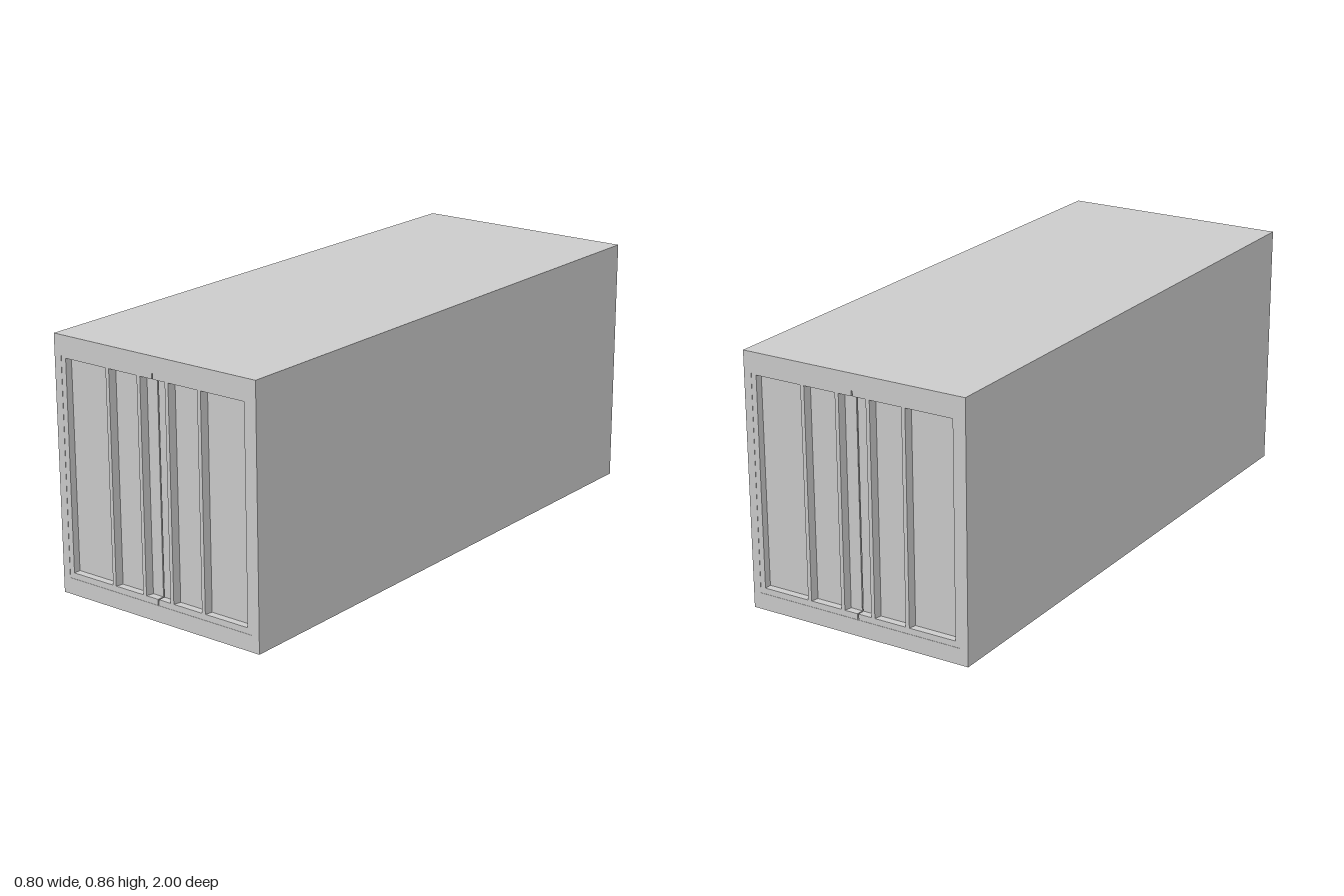
import * as THREE from 'three';

const material = new THREE.MeshStandardMaterial({ color: 0xcccccc, flatShading: true });

const W = 0.4, H = 0.855, L = 2;              // half width, height, length
const IN = 0.373, Y0 = 0.055, Y1 = 0.8;       // door opening
const P0 = 0.075, P1 = 0.782;                 // recessed panel, bottom and top
const D = 0.025, T = 0.03, GAP = 0.002;       // recess depth, door thickness, half gap

function addMesh(parent, name, geometry) {
  const mesh = new THREE.Mesh(geometry, material);
  mesh.name = name;
  parent.add(mesh);
  return mesh;
}

// Hollow rectangular body, open at both ends
function bodyGeometry() {
  const shape = new THREE.Shape([[-W, 0], [W, 0], [W, H], [-W, H]].map(p => new THREE.Vector2(...p)));
  shape.holes.push(new THREE.Path([[-IN, Y0], [-IN, Y1], [IN, Y1], [IN, Y0]].map(p => new THREE.Vector2(...p))));
  return new THREE.ExtrudeGeometry(shape, { depth: L, bevelEnabled: false }).translate(0, 0, -L / 2);
}

// One door leaf: ribbed panel between a top and a bottom rail
function doorLeaf(side) {
  const leaf = new THREE.Group();
  leaf.name = side > 0 ? 'leftDoor' : 'rightDoor';

  // Plan section as [x, depth behind the door face]
  const section = [[GAP, D]];
  for (const x of [0.056, 0.1825]) {
    section.push([x - 0.0125, D], [x - 0.0065, 0], [x + 0.0065, 0], [x + 0.0125, D]);
  }
  section.push([0.355, D], [0.355, 0], [IN, 0], [IN, T], [GAP, T]);
  const shape = new THREE.Shape(section.map(([x, d]) => new THREE.Vector2(side * x, d)));
  const panel = new THREE.ExtrudeGeometry(shape, { depth: P1 - P0, bevelEnabled: false });
  panel.rotateX(-Math.PI / 2).translate(0, P0, 0);
  addMesh(leaf, 'ribbedPanel', panel);

  for (const [name, a, b] of [['bottomRail', Y0, P0], ['topRail', P1, Y1]]) {
    const rail = addMesh(leaf, name, new THREE.BoxGeometry(IN - GAP, b - a, T));
    rail.position.set(side * (IN + GAP) / 2, (a + b) / 2, -T / 2);
  }
  return leaf;
}

export function createModel() {
  const model = new THREE.Group();
  model.name = 'container';
  addMesh(model, 'body', bodyGeometry());

  // The same pair of doors closes each end
  for (const [name, turn] of [['frontDoors', 0], ['backDoors', Math.PI]]) {
    const doors = new THREE.Group();
    doors.name = name;
    for (const side of [-1, 1]) {
      const leaf = doorLeaf(side);
      leaf.position.z = L / 2 - 0.001;
      doors.add(leaf);
    }
    doors.rotation.y = turn;
    model.add(doors);
  }
  return model;
}
